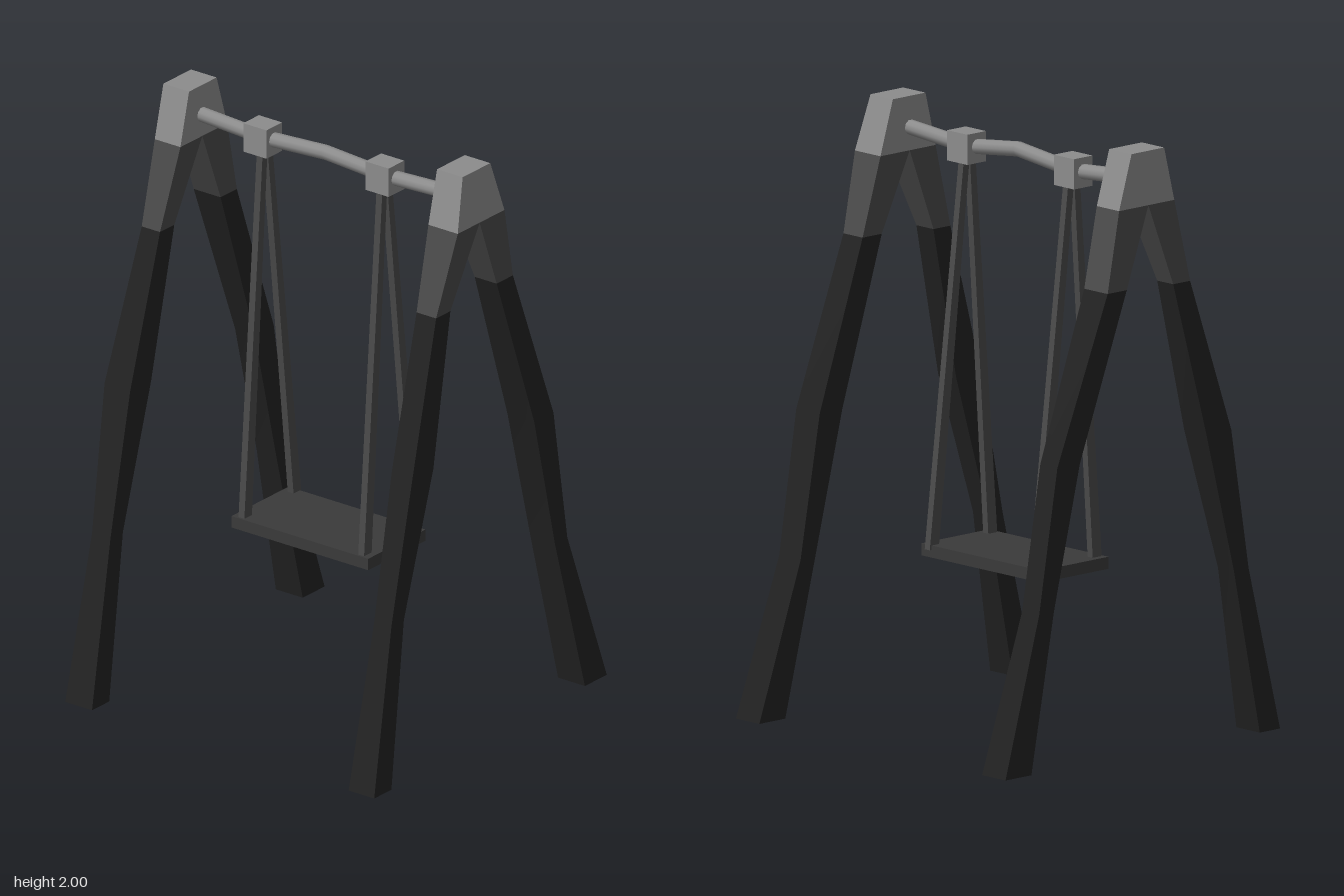
import * as THREE from 'three';
import { toCreasedNormals } from 'three/addons/utils/BufferGeometryUtils.js';

const grey = (color) => new THREE.MeshStandardMaterial({ color });
const MATS = { top: grey(0x8c8c8c), mid: grey(0x4a4a4a), leg: grey(0x222222), seat: grey(0x3a3a3a) };

// Four-sided beam through rings of [y, x0, x1, z0, z1], listed from bottom to top
function beam(name, rings, material) {
  const pos = [];
  const index = [];
  rings.forEach(([y, x0, x1, z0, z1], r) => {
    pos.push(x0, y, z0, x0, y, z1, x1, y, z1, x1, y, z0);
    if (r === 0) return;
    for (let i = 0; i < 4; i++) {
      const a = (r - 1) * 4 + i;
      const b = (r - 1) * 4 + (i + 1) % 4;
      index.push(a, b, b + 4, a, b + 4, a + 4);
    }
  });
  const t = (rings.length - 1) * 4;
  index.push(0, 2, 1, 0, 3, 2, t, t + 1, t + 2, t, t + 2, t + 3);
  const geo = new THREE.BufferGeometry();
  geo.setAttribute('position', new THREE.Float32BufferAttribute(pos, 3));
  geo.setIndex(index);
  const mesh = new THREE.Mesh(toCreasedNormals(geo, 0.6), material);
  mesh.name = name;
  return mesh;
}

function box(name, size, center, material) {
  const mesh = new THREE.Mesh(new THREE.BoxGeometry(...size), material);
  mesh.position.set(...center);
  mesh.name = name;
  return mesh;
}

// Round bar following a bent path, with rings standing across x
function bentBar(name, points, radius, sides, material) {
  const geo = new THREE.CylinderGeometry(radius, radius, 1, sides, points.length - 1);
  geo.rotateZ(Math.PI / 2);
  const p = geo.attributes.position;
  for (let i = 0; i < p.count; i++) {
    const k = Math.round((p.getX(i) + 0.5) * (points.length - 1));
    const [x, y, z] = points[k];
    p.setXYZ(i, x, p.getY(i) + y, p.getZ(i) + z);
  }
  const mesh = new THREE.Mesh(toCreasedNormals(geo, 0.9), material);
  mesh.name = name;
  return mesh;
}

// Leg depth per level: [y, z0, z1]
const FRONT = [[0, 0.52, 0.61], [0.55, 0.41, 0.475], [1.03, 0.255, 0.365], [1.54, 0.14, 0.215], [1.82, 0.025, 0.14], [2, 0.025, 0.095]];
const BACK = [[0.015, -0.61, -0.495], [0.54, -0.46, -0.395], [1.01, -0.375, -0.275], [1.56, -0.175, -0.09], [1.82, -0.105, 0.025], [2, -0.05, 0.025]];

// Leg width per level: [x0, x1], each leg slightly crooked
const LEGS = [
  ['rightFrontLeg', FRONT, [[-0.62, -0.51], [-0.615, -0.54], [-0.65, -0.545], [-0.615, -0.54], [-0.62, -0.515], [-0.62, -0.515]]],
  ['rightBackLeg', BACK, [[-0.62, -0.51], [-0.62, -0.54], [-0.615, -0.535], [-0.64, -0.53], [-0.62, -0.515], [-0.62, -0.515]]],
  ['leftFrontLeg', FRONT, [[0.54, 0.645], [0.54, 0.61], [0.525, 0.61], [0.51, 0.59], [0.5, 0.62], [0.5, 0.605]]],
  ['leftBackLeg', BACK, [[0.535, 0.645], [0.5, 0.6], [0.5, 0.61], [0.51, 0.6], [0.5, 0.62], [0.5, 0.605]]],
];

export function createModel() {
  const model = new THREE.Group();
  model.name = 'swing';

  // Crooked A-frame legs: dark shaft, worn upper part and pale crown
  for (const [name, depth, width] of LEGS) {
    const rings = depth.map(([y, z0, z1], i) => [y, ...width[i], z0, z1]);
    const leg = new THREE.Group();
    leg.name = name;
    leg.add(
      beam('shaft', rings.slice(0, 4), MATS.leg),
      beam('upperLeg', rings.slice(3, 5), MATS.mid),
      beam('crown', rings.slice(4), MATS.top),
    );
    model.add(leg);
  }

  // Bent crossbar
  model.add(bentBar('crossbar', [
    [-0.56, 1.9, 0.028], [-0.272, 1.88, 0.02], [0, 1.904, 0.035], [0.228, 1.88, 0.02], [0.56, 1.9, 0.03],
  ], 0.025, 10, MATS.top));

  // Clamps, each with a pair of spreading hangers
  for (const [side, clampX, x] of [['right', -0.272, -0.26], ['left', 0.228, 0.23]]) {
    model.add(box(side + 'Clamp', [0.095, 0.1, 0.082], [clampX, 1.88, 0.02], MATS.top));
    const x0 = x - 0.012;
    const x1 = x + 0.012;
    model.add(
      beam(side + 'FrontHanger', [[0.57, x0, x1, 0.108, 0.148], [1.85, x0, x1, 0.025, 0.05]], MATS.mid),
      beam(side + 'BackHanger', [[0.57, x0, x1, -0.153, -0.113], [1.85, x0, x1, 0.0, 0.025]], MATS.mid),
    );
  }

  // Flat seat board
  model.add(box('seat', [0.56, 0.04, 0.3], [-0.015, 0.565, 0.005], MATS.seat));
  return model;
}
